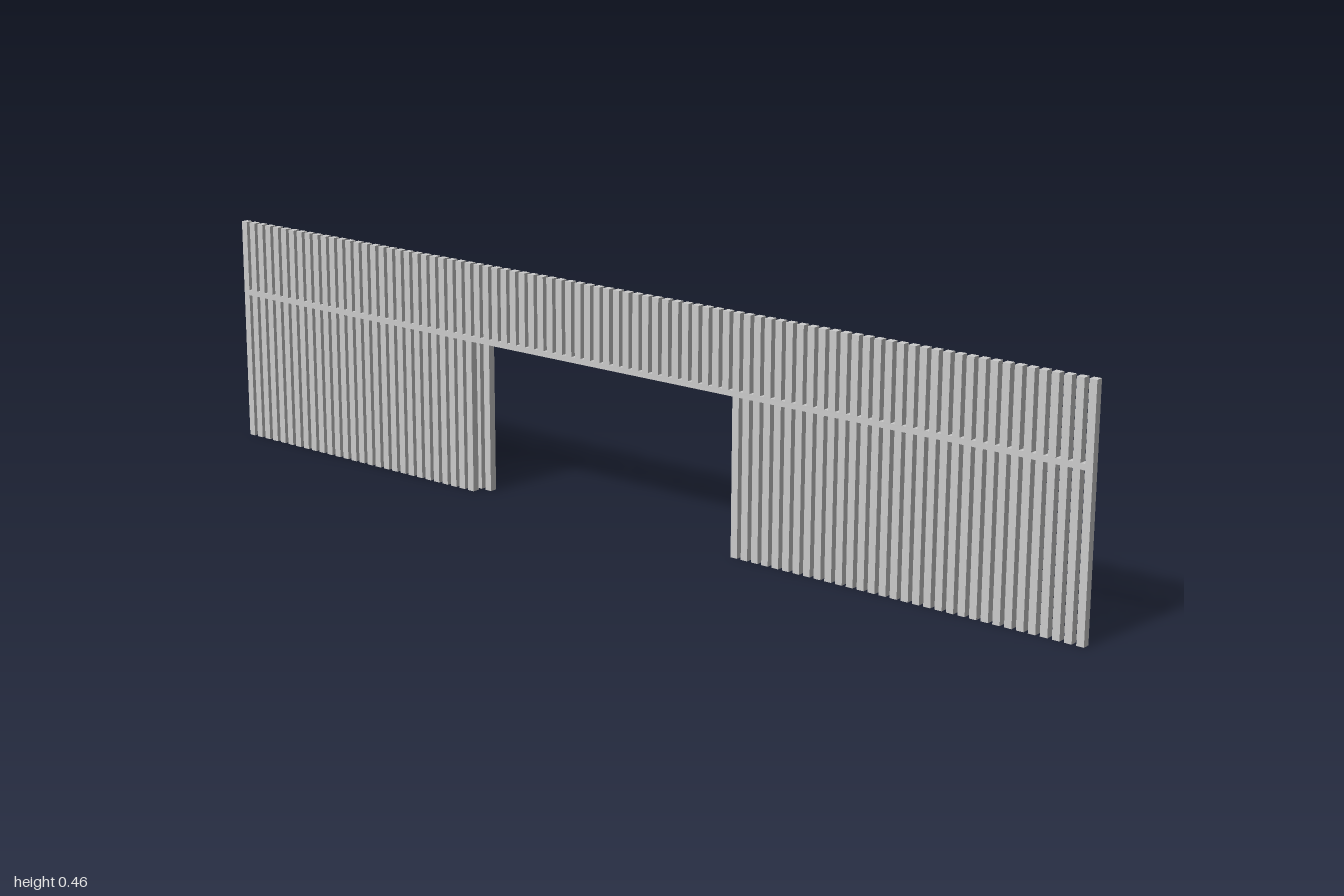
import * as THREE from 'three';

const material = new THREE.MeshStandardMaterial({ color: 0xcccccc, flatShading: true });
const SLAT = 0.0145;   // slat width
const DEPTH = 0.015;   // slat and rail depth

// Box given by its x and y limits and its centre z
function bar(parent, name, x0, x1, y0, y1, z) {
  const mesh = new THREE.Mesh(new THREE.BoxGeometry(x1 - x0, y1 - y0, DEPTH), material);
  mesh.name = name;
  mesh.position.set((x0 + x1) / 2, (y0 + y1) / 2, z);
  parent.add(mesh);
}

export function createModel() {
  const model = new THREE.Group();
  model.name = 'slattedFence';

  // Fixed fence: full-width rail, slats above it, lower slats on both sides of the opening
  const fence = new THREE.Group();
  fence.name = 'fixedFence';
  model.add(fence);
  const zFront = 0.0115, railBottom = 0.304, railTop = 0.315;
  bar(fence, 'fenceRail', -1, 1, railBottom, railTop, zFront);
  const count = 87, pitch = (2 - SLAT) / (count - 1);
  for (let i = 0; i < count; i++) {
    const x = -1 + i * pitch;
    bar(fence, 'upperSlat', x, x + SLAT, railTop, 0.459, zFront);
    if (i <= 27 || i >= 55) bar(fence, 'lowerSlat', x, x + SLAT, 0, railBottom, zFront);
  }

  // Sliding gate panel parked behind the right side of the fence
  const gate = new THREE.Group();
  gate.name = 'slidingGate';
  model.add(gate);
  const zBack = -0.0115, gateEnd = -0.337, gateCount = 28;
  bar(gate, 'gateRail', -1, gateEnd, 0.304, 0.317, zBack);
  const gatePitch = (gateEnd + 1 - SLAT) / (gateCount - 1);
  for (let i = 0; i < gateCount; i++) {
    const x = -1 + i * gatePitch;
    bar(gate, 'gateSlat', x, x + SLAT, 0, 0.304, zBack);
  }

  return model;
}
